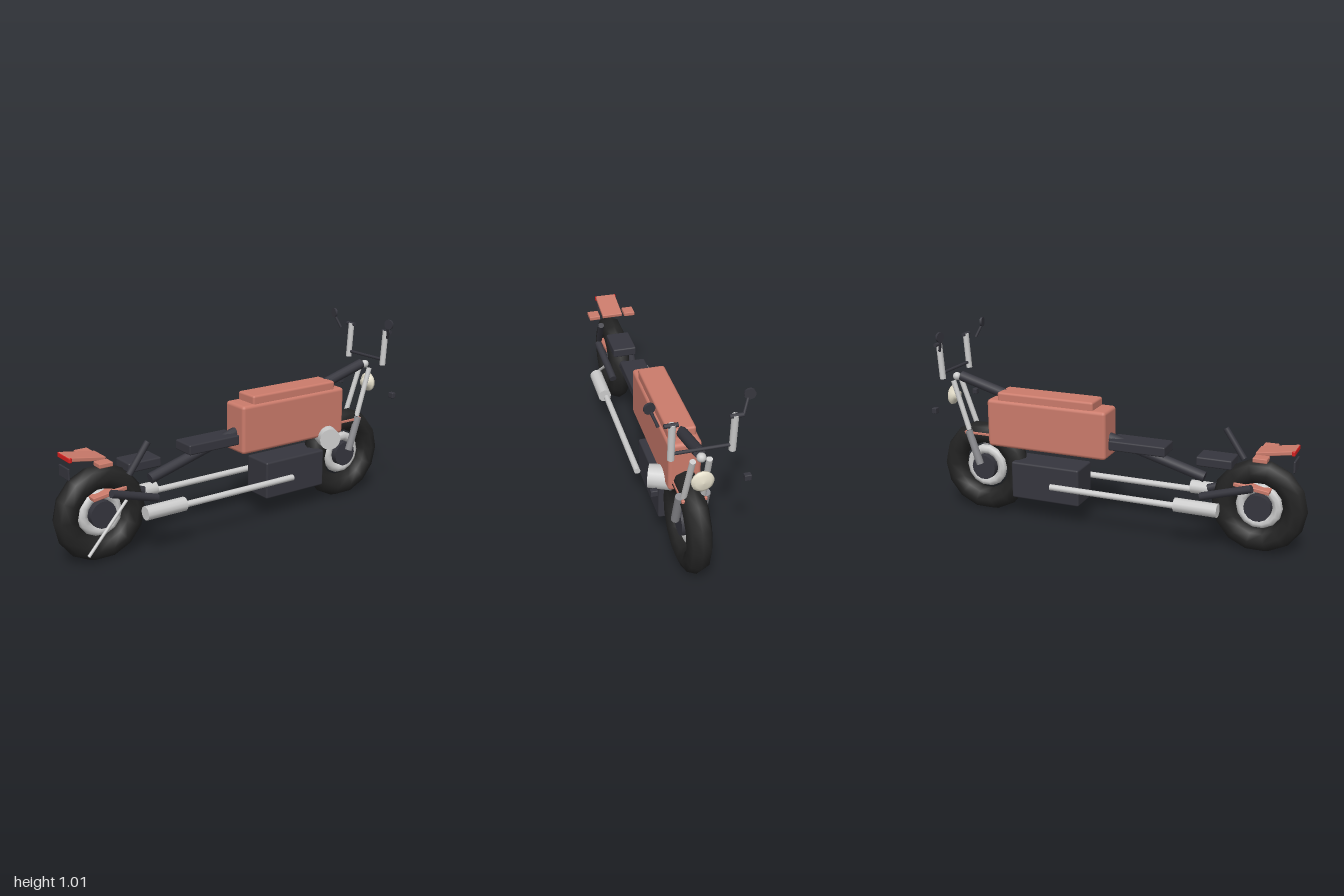
import * as THREE from 'three';
import { RoundedBoxGeometry } from 'three/addons/geometries/RoundedBoxGeometry.js';

const mat = (color) => new THREE.MeshStandardMaterial({ color });

export function createModel() {
  const bike = new THREE.Group();
  bike.name = 'motorcycle';
  const paint = mat(0xcb7b6b), dark = mat(0x36363e), rubber = mat(0x242424);
  const metal = mat(0xcccccc), legGrey = mat(0x8c8c90), red = mat(0xd82020), cream = mat(0xe6e0cc);

  const add = (name, geometry, material, x = 0, y = 0, z = 0, rx = 0) => {
    const mesh = new THREE.Mesh(geometry, material);
    mesh.name = name;
    mesh.position.set(x, y, z);
    mesh.rotation.x = rx;
    bike.add(mesh);
    return mesh;
  };
  const box = (name, material, [w, h, d], [x, y, z], rx = 0, r = 0.004) =>
    add(name, new RoundedBoxGeometry(w, h, d, 2, r), material, x, y, z, rx);
  // Cylinder between two points
  const rod = (name, material, a, b, r0, r1 = r0, sides = 12) => {
    const p = new THREE.Vector3(...a), q = new THREE.Vector3(...b);
    const dir = q.clone().sub(p);
    const mesh = add(name, new THREE.CylinderGeometry(r1, r0, dir.length(), sides), material);
    mesh.position.copy(p).add(q).multiplyScalar(0.5);
    mesh.quaternion.setFromUnitVectors(new THREE.Vector3(0, 1, 0), dir.normalize());
    return mesh;
  };

  // Wheels: tyre, rim and hub
  for (const [side, y, z, r] of [['front', 0.245, -0.745, 0.25], ['rear', 0.235, 0.76, 0.24]]) {
    const tube = 0.061;
    add(side + 'Tyre', new THREE.TorusGeometry(r - tube, tube, 8, 14), rubber, 0, y, z).rotation.y = Math.PI / 2;
    add(side + 'Rim', new THREE.TorusGeometry(0.092, 0.026, 8, 14), metal, 0, y, z).rotation.y = Math.PI / 2;
    rod(side + 'Hub', dark, [-0.045, y, z], [0.045, y, z], 0.068, 0.068, 14);
  }

  // Tank, cover, engine and spine
  box('tank', paint, [0.156, 0.255, 0.67], [0, 0.512, -0.358], 0, 0.018);
  box('tankCover', paint, [0.134, 0.06, 0.54], [0, 0.652, -0.365], 0, 0.012);
  box('engine', dark, [0.17, 0.2, 0.385], [0, 0.215, -0.363], 0, 0.01);
  rod('spine', dark, [0, 0.345, 0.48], [0, 0.73, -0.88], 0.027);

  // Seats
  box('seat', dark, [0.132, 0.052, 0.3], [0, 0.467, 0.14], 0, 0.008);
  box('rearSeat', dark, [0.126, 0.048, 0.18], [0, 0.443, 0.54], 0, 0.008);

  // Tail plate, light, number plate and mudguards
  box('tailPlate', paint, [0.112, 0.02, 0.19], [0, 0.529, 0.838], -0.16);
  box('tailLight', red, [0.12, 0.024, 0.016], [0, 0.54, 0.925]);
  box('numberPlate', dark, [0.096, 0.056, 0.01], [0, 0.47, 0.93], 0, 0.003);
  box('rearMudguard', paint, [0.125, 0.02, 0.18], [0, 0.338, 0.73], 0.14);
  box('frontMudguard', paint, [0.12, 0.016, 0.16], [0, 0.436, -0.765]);

  // Single-sided parts: lever, stand, air filter
  rod('lever', dark, [0.1, 0.43, 0.65], [0.108, 0.575, 0.55], 0.016);
  rod('kickstand', metal, [0.04, 0.28, 0.635], [0.087, 0.065, 0.87], 0.008);
  rod('airFilter', metal, [0.03, 0.385, -0.6], [0.134, 0.385, -0.556], 0.06, 0.057, 14);

  // Mirrored parts
  for (const s of [-1, 1]) {
    const side = s > 0 ? 'left' : 'right';
    rod(side + 'Swingarm', dark, [s * 0.063, 0.265, 0.48], [s * 0.088, 0.35, 0.74], 0.02);
    rod(side + 'ExhaustPipe', metal, [s * 0.126, 0.222, 0.4], [s * 0.126, 0.222, -0.31], 0.016);
    rod(side + 'Muffler', metal, [s * 0.136, 0.233, 0.37], [s * 0.136, 0.233, 0.59], 0.035);
    box(side + 'RearIndicator', paint, [0.06, 0.022, 0.07], [s * 0.1, 0.51, 0.782]);
    box(side + 'FrontIndicator', dark, [0.032, 0.03, 0.026], [s * 0.209, 0.59, -0.922]);

    // Fork
    rod(side + 'ForkTube', metal, [s * 0.045, 0.45, -0.822], [s * 0.037, 0.71, -0.91], 0.014);
    rod(side + 'ForkLeg', legGrey, [s * 0.062, 0.45, -0.815], [s * 0.062, 0.27, -0.755], 0.02);

    // Riser, grip and mirror
    rod(side + 'Riser', metal, [s * 0.135, 0.743, -0.912], [s * 0.135, 0.93, -0.925], 0.016);
    rod(side + 'Grip', dark, [s * 0.11, 0.926, -0.927], [s * 0.171, 0.926, -0.927], 0.01);
    rod(side + 'MirrorStem', dark, [s * 0.185, 0.903, -0.892], [s * 0.209, 0.965, -0.868], 0.007);
    rod(side + 'Mirror', dark, [s * 0.215, 0.983, -0.873], [s * 0.217, 0.983, -0.862], 0.026);
  }

  // Handlebar and steering head
  rod('handlebar', dark, [-0.135, 0.773, -0.915], [0.135, 0.773, -0.915], 0.008);
  add('steeringHead', new THREE.SphereGeometry(0.022, 12, 8), metal, 0, 0.725, -0.91);

  // Headlight bowl with domed lens, opening toward -z
  const bowl = [[0, 0], [0.022, 0], [0.028, 0.02], [0.05, 0.032], [0.052, 0.042], [0.035, 0.052], [0, 0.057]];
  add('headlight', new THREE.LatheGeometry(bowl.map(([r, h]) => new THREE.Vector2(r, h)), 14),
    cream, 0, 0.62, -0.9, -Math.PI / 2);

  return bike;
}
